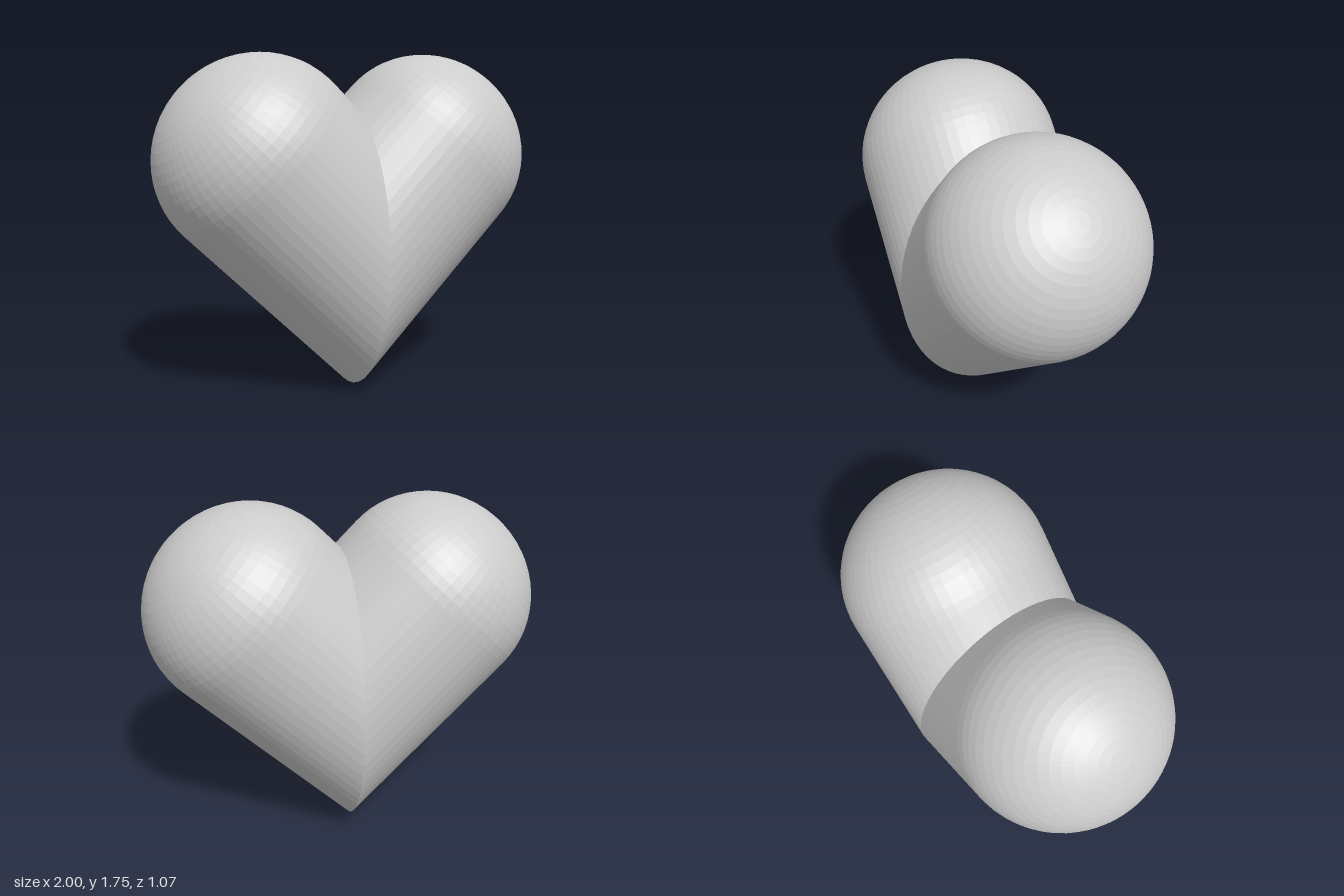
import * as THREE from 'three';

const R = 0.533;            // lobe radius
const DOME = 0.51;          // dome height along the lobe axis
const LENGTH = 0.478 * Math.SQRT2; // axis length from the mitre to the dome
const ROWS = 16;

// Upright round-ended column, its open lower end cut at 45 degrees
function lobeGeometry() {
  const profile = [new THREE.Vector2(R, 0)];
  for (let i = 0; i <= ROWS; i++) {
    const a = (i / ROWS) * Math.PI / 2;
    profile.push(new THREE.Vector2(i === ROWS ? 0 : R * Math.cos(a), LENGTH + DOME * Math.sin(a)));
  }
  const geometry = new THREE.LatheGeometry(profile, 64);
  const p = geometry.attributes.position;
  for (let i = 0; i < p.count; i++) {
    if (p.getY(i) < 1e-6) p.setY(i, -p.getX(i));
  }
  // Lean outward so the cut lies on the x = 0 plane
  geometry.rotateZ(-Math.PI / 4);
  geometry.translate(0, R * Math.SQRT2, 0);
  geometry.computeVertexNormals();
  return geometry;
}

export function createModel() {
  const heart = new THREE.Group();
  heart.name = 'heart';
  const material = new THREE.MeshStandardMaterial({ color: 0xcccccc, flatShading: true });
  const geometry = lobeGeometry();

  // Two matching lobes, the right one turned half round
  const leftLobe = new THREE.Mesh(geometry, material);
  leftLobe.name = 'leftLobe';
  const rightLobe = new THREE.Mesh(geometry, material);
  rightLobe.name = 'rightLobe';
  rightLobe.rotation.y = Math.PI;

  heart.add(leftLobe, rightLobe);
  return heart;
}
